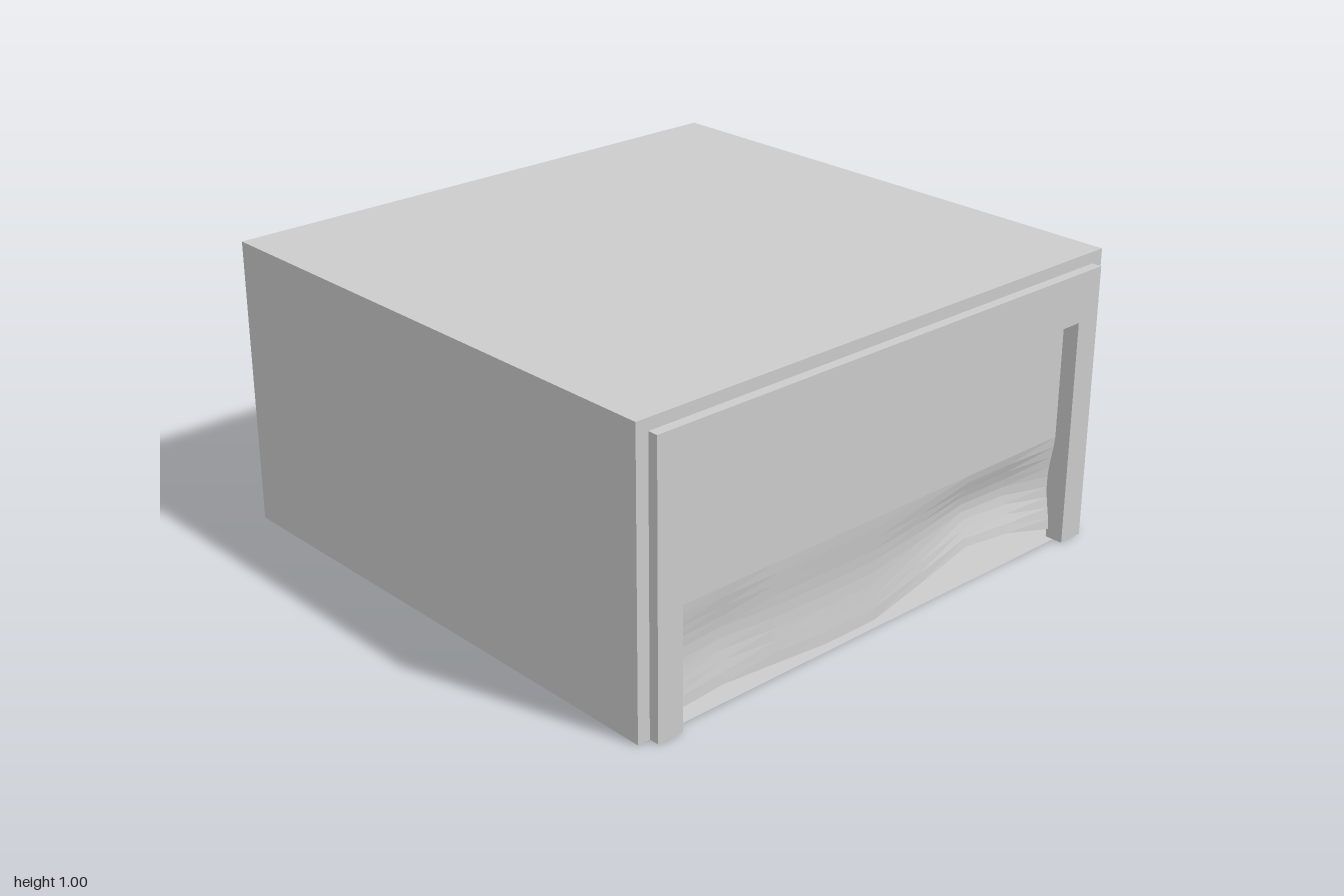
import * as THREE from 'three';

const X0 = -0.98, X1 = 0.94; // open rear end, door end

export function createModel() {
  const group = new THREE.Group();
  const mat = new THREE.MeshStandardMaterial({ color: 0xcccccc, side: THREE.DoubleSide });
  const flat = mat.clone();
  flat.flatShading = true;

  const add = (name, geometry, material = mat) => {
    const mesh = new THREE.Mesh(geometry, material);
    mesh.name = name;
    group.add(mesh);
    return mesh;
  };

  // Thin shell: roof, two side walls and a slightly narrower floor
  const len = X1 - X0, cx = (X0 + X1) / 2;
  add('roof', new THREE.PlaneGeometry(len, 2).rotateX(-Math.PI / 2).translate(cx, 1, 0));
  add('floor', new THREE.PlaneGeometry(len, 1.91).rotateX(-Math.PI / 2).translate(cx, 0, 0));
  add('frontWall', new THREE.PlaneGeometry(len, 1).translate(cx, 0.5, 1));
  add('backWall', new THREE.PlaneGeometry(len, 1).rotateY(Math.PI).translate(cx, 0.5, -1));

  // Upside-down U around the doorway
  const arch = (halfWidth, height) => new THREE.Shape([
    [-halfWidth, 0], [-0.86, 0], [-0.86, 0.79], [0.86, 0.79],
    [0.86, 0], [halfWidth, 0], [halfWidth, height], [-halfWidth, height],
  ].map(([x, y]) => new THREE.Vector2(x, y)));

  // End wall and the raised door frame on it
  add('doorWall', new THREE.ShapeGeometry(arch(1, 1)).rotateY(Math.PI / 2).translate(X1, 0, 0));
  add('doorFrame', new THREE.ExtrudeGeometry(arch(0.955, 0.96), { depth: 0.065, bevelEnabled: false })
    .rotateY(Math.PI / 2).translate(0.91, 0, 0));

  // Roller shutter: flat above, dented below, with an uneven lower edge
  const bottom = [0.03, 0.045, 0.028, 0.01, 0.01, 0.06, 0.115, 0.09, 0.03];
  const dent = [0.015, 0.02, 0.012, 0.015, 0.015, 0.02, 0.03, 0.035, 0.02];
  const cols = bottom.length - 1, rows = 10, bend = 0.37;
  const shutter = new THREE.PlaneGeometry(1.72, 1, cols, rows).rotateY(Math.PI / 2);
  const pos = shutter.attributes.position;
  for (let r = 0; r <= rows; r++) {
    for (let c = 0; c <= cols; c++) {
      const i = r * (cols + 1) + c;
      const t = Math.max(0, (r - 1) / (rows - 1));
      pos.setY(i, r === 0 ? 0.79 : THREE.MathUtils.lerp(bend, bottom[c], t));
      pos.setX(i, 0.918 - dent[c] * Math.sin(Math.PI * t) ** 1.5);
    }
  }
  shutter.computeVertexNormals();
  add('shutter', shutter, flat);

  return group;
}
